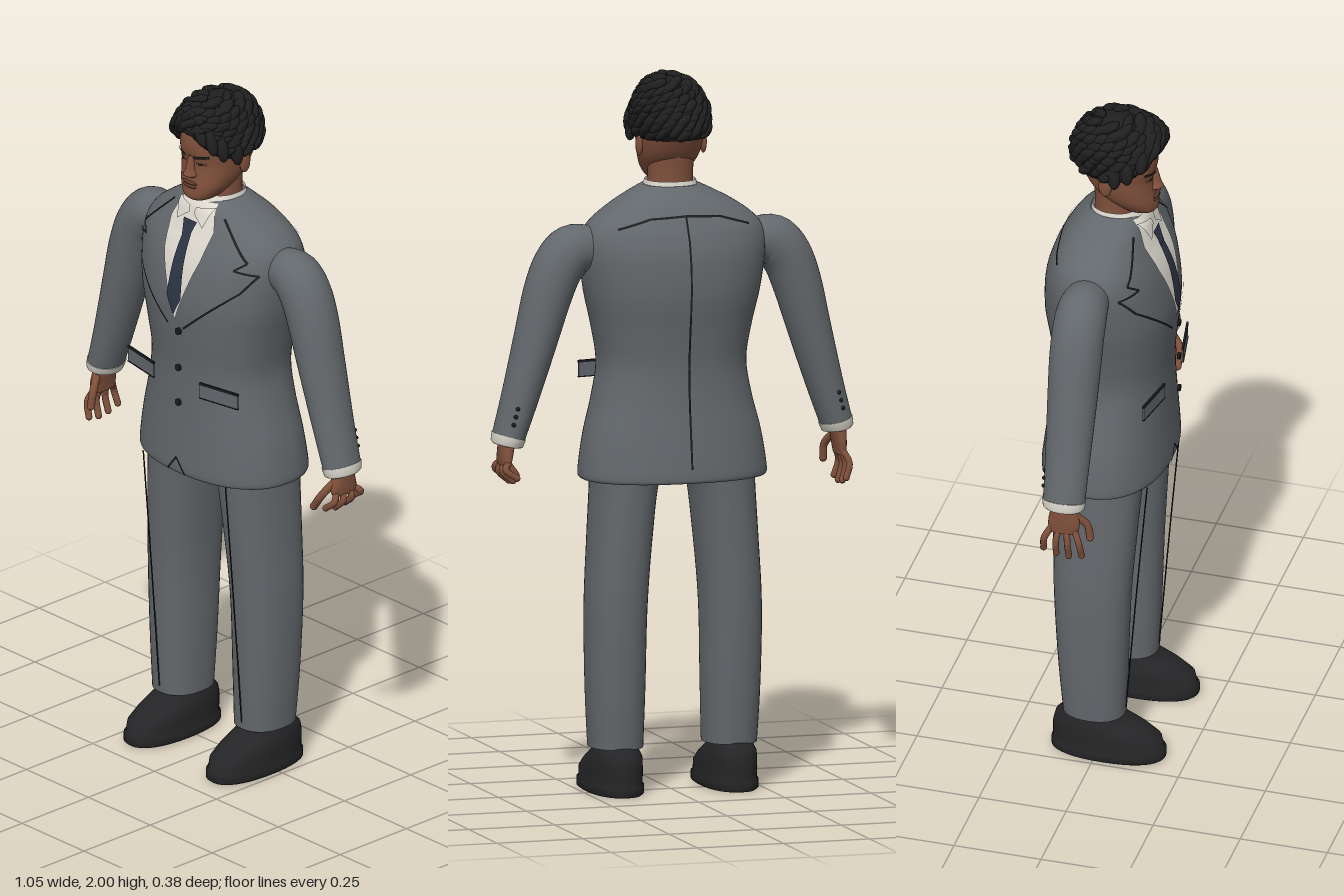
import * as THREE from 'three';

const mat = (name, hex, side = THREE.FrontSide) => {
  const m = new THREE.MeshStandardMaterial({ color: hex, side });
  m.name = name;
  return m;
};

// Smoothly resample rows of numbers (Catmull-Rom on every component)
function refine(rows, k = 5) {
  const out = [], n = rows.length, at = i => rows[Math.max(0, Math.min(n - 1, i))];
  for (let i = 0; i < n - 1; i++) for (let s = 0; s < k; s++) {
    const t = s / k, [a, b, c, d] = [at(i - 1), at(i), at(i + 1), at(i + 2)];
    out.push(b.map((v, j) => v + 0.5 * t * (c[j] - a[j] + t * (2 * a[j] - 5 * v + 4 * c[j] - d[j]
      + t * (3 * (v - c[j]) + d[j] - a[j])))));
  }
  out.push(rows[n - 1]);
  return out;
}

// Skin over superelliptic rings [x, y, z, rx, rz], listed from the bottom up
function loft(rows, { n = 2.3, seg = 40, bend = false, caps = true } = {}) {
  const pos = [], idx = [], sp = v => Math.sign(v) * Math.abs(v) ** (2 / n);
  rows.forEach(([x, y, z, rx, rz], i) => {
    const p = rows[Math.max(0, i - 1)], q = rows[Math.min(rows.length - 1, i + 1)];
    const tilt = bend ? Math.atan2(q[1] - p[1], q[0] - p[0]) - Math.PI / 2 : 0;
    for (let j = 0; j < seg; j++) {
      const a = j / seg * Math.PI * 2, u = rx * sp(Math.cos(a));
      pos.push(x + u * Math.cos(tilt), y + u * Math.sin(tilt), z + rz * sp(Math.sin(a)));
    }
  });
  for (let i = 0; i < rows.length - 1; i++) for (let j = 0; j < seg; j++) {
    const a = i * seg + j, b = i * seg + (j + 1) % seg;
    idx.push(a, a + seg, b, b, a + seg, b + seg);
  }
  if (caps) for (const r of [0, rows.length - 1]) {
    const base = pos.length / 3;
    pos.push(...pos.slice(r * seg * 3, (r + 1) * seg * 3), ...rows[r].slice(0, 3));
    for (let j = 0; j < seg; j++) {
      const a = base + j, b = base + (j + 1) % seg;
      idx.push(base + seg, ...(r ? [b, a] : [a, b]));
    }
  }
  return build(pos, idx);
}

function build(pos, idx) {
  const g = new THREE.BufferGeometry();
  g.setAttribute('position', new THREE.Float32BufferAttribute(pos, 3));
  g.setIndex(idx);
  g.computeVertexNormals();
  return g;
}

// Depth of a lofted body at (x, y), on its front (side 1) or back (side -1)
function depth(rows, x, y, side, n = 2.3) {
  let i = 0;
  while (i < rows.length - 2 && rows[i + 1][1] < y) i++;
  const a = rows[i], b = rows[i + 1], t = Math.max(0, Math.min(1, (y - a[1]) / (b[1] - a[1])));
  const [, , cz, rx, rz] = a.map((v, k) => v + (b[k] - v) * t);
  return cz + side * rz * Math.max(0, 1 - Math.abs(x / rx) ** n) ** (1 / n);
}

// Four-cornered plate laid on a lofted body, corners counter-clockwise
function patch(rows, [a, b, c, d], off = 0.005, side = 1, N = 10) {
  const pos = [], idx = [], mix = (p, q, t) => [p[0] + (q[0] - p[0]) * t, p[1] + (q[1] - p[1]) * t];
  for (let i = 0; i <= N; i++) for (let j = 0; j <= N; j++) {
    const [x, y] = mix(mix(a, b, j / N), mix(d, c, j / N), i / N);
    pos.push(x, y, depth(rows, x, y, side) + off * side);
    if (i < N && j < N) {
      const k = i * (N + 1) + j, u = k + N + 1;
      idx.push(...(side > 0 ? [k, k + 1, u, u, k + 1, u + 1] : [k, u, k + 1, u, u + 1, k + 1]));
    }
  }
  return build(pos, idx);
}

const body = list => refine(list.map(([y, rx, zf, zb]) => [0, y, (zf + zb) / 2, rx, (zf - zb) / 2]));

export function createModel() {
  const root = new THREE.Group();
  const suit = mat('suitGrey', 0x63686c, THREE.DoubleSide), seam = mat('seamDark', 0x1b1c1e);
  const skin = mat('skin', 0x80503b), lip = mat('lipBrown', 0x5e382b), hairM = mat('hairBlack', 0x1f1f20);
  const shoeM = mat('shoeBlack', 0x252527), shirt = mat('shirtWhite', 0xdedad0, THREE.DoubleSide);
  const tieM = mat('tieNavy', 0x2d3545);
  const add = (name, g, m, parent = root) => {
    const mesh = new THREE.Mesh(g, m);
    mesh.name = name;
    parent.add(mesh);
    return mesh;
  };
  const V = p => new THREE.Vector3(...p);
  const rod = (name, pts, r, m) => add(name,
    new THREE.TubeGeometry(new THREE.CatmullRomCurve3(pts.map(V)), 10, r, 8), m);
  const ball = (name, p, s, m) => {
    const b = add(name, new THREE.SphereGeometry(1, 14, 10), m);
    b.position.set(...p);
    b.scale.set(...s);
    return b;
  };

  // Jacket
  const torso = body([[0.88, 0.26, 0.16, -0.188], [0.9, 0.265, 0.165, -0.192], [1.0, 0.25, 0.16, -0.18],
    [1.1, 0.225, 0.156, -0.167], [1.2, 0.209, 0.156, -0.162], [1.3, 0.224, 0.165, -0.172],
    [1.4, 0.247, 0.17, -0.185], [1.5, 0.261, 0.155, -0.181], [1.56, 0.257, 0.135, -0.165],
    [1.6, 0.233, 0.116, -0.146], [1.64, 0.18, 0.1, -0.121], [1.67, 0.125, 0.09, -0.092], [1.692, 0.08, 0.075, -0.068]]);
  add('jacket', loft(torso, { seg: 64 }), suit);
  const seamLine = (name, pts, side = 1, w = 0.0028) => {
    for (let i = 0; i < pts.length - 1; i++) {
      const [[ax, ay], [bx, by]] = [pts[i], pts[i + 1]], l = Math.hypot(bx - ax, by - ay);
      const px = -(by - ay) / l * w, py = (bx - ax) / l * w;
      add(name, patch(torso, [[ax - px, ay - py], [bx - px, by - py], [bx + px, by + py], [ax + px, ay + py]], 0.004, side), seam);
    }
  };
  for (const s of [-1, 1]) {
    seamLine('lapelSeam', [[0.1, 1.658], [0.205, 1.56], [0.175, 1.537], [0.235, 1.527], [0.2, 1.475], [0.03, 1.33]]
      .map(([x, y]) => [x * s, y]));
    seamLine('hemNotch', [[s * 0.035, 0.885], [0, 0.93]]);
    seamLine('yokeSeam', [[0, 1.62], [s * 0.1, 1.615], [s * 0.19, 1.588]], -1);
  }
  seamLine('backSeam', [[0, 1.62], [0, 0.92]], -1);
  for (const y of [1.32, 1.21, 1.105]) {
    const b = add('jacketButton', new THREE.CylinderGeometry(0.01, 0.01, 0.008, 14), seam);
    b.rotation.x = Math.PI / 2;
    b.position.set(0.017, y, 0.176);
  }

  // Pocket flaps standing slightly proud of the jacket
  for (const s of [-1, 1]) {
    const flap = new THREE.Group();
    flap.name = 'pocketFlap';
    flap.position.set(s * 0.157, 1.162, 0.153);
    flap.rotation.y = s * 0.18;
    root.add(flap);
    add('flapCloth', new THREE.BoxGeometry(0.13, 0.045, 0.004), suit, flap);
    for (const [y, h] of [[0.021, 0.007], [-0.022, 0.003]])
      add('flapEdge', new THREE.BoxGeometry(0.132, h, 0.006), seam, flap).position.y = y;
  }

  // Shirt front, collar and tie
  const stack = (name, rows, off, m) => {
    for (let i = 0; i < rows.length - 1; i++) {
      const [y0, w0] = rows[i], [y1, w1] = rows[i + 1];
      add(name, patch(torso, [[-w0, y0], [w0, y0], [w1, y1], [-w1, y1]], off), m);
    }
  };
  stack('shirtFront', [[1.35, 0.001], [1.54, 0.072], [1.62, 0.086], [1.688, 0.062]], 0.005, shirt);
  stack('tieBlade', [[1.37, 0.002], [1.42, 0.028], [1.6, 0.015]], 0.01, tieM);
  stack('tieKnot', [[1.59, 0.014], [1.635, 0.026]], 0.013, tieM);
  add('shirtCollar', loft([[0, 1.655, 0.012, 0.082, 0.085], [0, 1.705, 0.004, 0.07, 0.068]], { caps: false }), shirt);
  for (const s of [-1, 1]) {
    const tip = s > 0 ? [[0.008, 1.655], [0.05, 1.625], [0.07, 1.682], [0.012, 1.672]]
      : [[-0.05, 1.625], [-0.008, 1.655], [-0.012, 1.672], [-0.07, 1.682]];
    add('collarWing', patch(torso, tip, 0.014), shirt);
  }

  for (const s of [-1, 1]) {
    // Sleeve, cuff and sleeve buttons
    const arm = refine([[0.478, 1.0, 0.044, 0.059], [0.447, 1.1, 0.05, 0.062], [0.418, 1.2, 0.056, 0.066],
      [0.39, 1.3, 0.062, 0.07], [0.362, 1.4, 0.068, 0.073], [0.332, 1.475, 0.071, 0.073],
      [0.29, 1.52, 0.072, 0.07], [0.23, 1.525, 0.06, 0.06]].map(([x, y, rx, rz]) => [s * x, y, -0.013, rx, rz]));
    add('sleeve', loft(arm, { n: 2, bend: true }), suit);
    add('shirtCuff', loft([[s * 0.481, 0.985, -0.013, 0.037, 0.05], [s * 0.48, 0.99, -0.013, 0.044, 0.058],
      [s * 0.474, 1.012, -0.013, 0.047, 0.062]], { n: 2, bend: true }), shirt);
    for (let i = 0; i < 3; i++)
      ball('sleeveButton', [s * (0.478 - i * 0.006), 1.05 + i * 0.022, -0.07], [0.006, 0.006, 0.007], seam);

    // Hand: the left one curls, the right one hangs straight
    const curl = s > 0, tipY = curl ? 0.884 : 0.838;
    add('palm', loft(refine([[s * 0.487, curl ? 0.93 : 0.915, -0.012, 0.013, 0.042], [s * 0.485, 0.95, -0.01, 0.017, 0.045],
      [s * 0.48, 0.995, -0.012, 0.022, 0.034]]), { seg: 20 }), skin);
    for (let f = 0; f < 4; f++) {
      const z = 0.02 - f * 0.022, end = tipY + [0.008, 0, 0.004, 0.016][f], out = (z + 0.012) * 0.5;
      const top = curl ? 0.938 : 0.925, p = [s * (curl ? 0.468 : 0.488), end, z + out * 1.3];
      rod('finger', [[s * 0.487, top, z], [s * 0.499, (top + end) / 2 + 0.004, z + out], p], 0.0095, skin);
      ball('fingerTip', p, [0.0095, 0.0095, 0.0095], skin);
    }
    const thumb = curl ? [0.432, 0.889, 0.052] : [0.462, 0.892, 0.058];
    thumb[0] *= s;
    rod('thumb', [[s * 0.48, 0.97, 0.018], [s * 0.462, 0.932, 0.05], thumb], 0.011, skin);
    ball('thumbTip', thumb, [0.011, 0.011, 0.011], skin);

    // Trouser leg and its front crease
    add('trouserLeg', loft(refine([[0.165, 0.13, -0.013, 0.074, 0.088], [0.167, 0.3, -0.017, 0.08, 0.098],
      [0.166, 0.52, -0.019, 0.083, 0.108], [0.153, 0.72, -0.015, 0.085, 0.118], [0.138, 0.88, -0.012, 0.091, 0.127],
      [0.12, 0.95, -0.012, 0.118, 0.135]].map(([x, ...r]) => [s * x, ...r]))), suit);
    rod('trouserCrease', [[s * 0.166, 0.885, 0.137], [s * 0.166, 0.55, 0.108], [s * 0.166, 0.15, 0.076]], 0.002, seam);

    // Shoe
    const shoe = [[0, 0.07, 0.183, -0.128], [0.006, 0.078, 0.19, -0.135], [0.028, 0.078, 0.19, -0.135], [0.03, 0.073, 0.184, -0.13],
      [0.06, 0.074, 0.177, -0.131], [0.085, 0.071, 0.14, -0.13], [0.108, 0.067, 0.09, -0.124], [0.122, 0.06, 0.066, -0.11],
      [0.15, 0.055, 0.05, -0.09]].map(([y, rx, zf, zb]) => [s * 0.166, y, (zf + zb) / 2, rx, (zf - zb) / 2]);
    add('shoe', loft(shoe, { n: 2.3 }), shoeM);
  }

  // Neck and head
  add('neck', loft(refine([[0, 1.64, -0.005, 0.07, 0.066], [0, 1.7, 0.002, 0.063, 0.06], [0, 1.8, 0.0, 0.066, 0.064]]), { n: 2 }), skin);
  const head = body([[1.693, 0.025, 0.105, 0.05], [1.705, 0.046, 0.12, 0.02], [1.735, 0.069, 0.119, -0.02],
    [1.77, 0.083, 0.113, -0.06], [1.81, 0.09, 0.11, -0.085], [1.85, 0.093, 0.117, -0.1], [1.9, 0.092, 0.11, -0.105],
    [1.94, 0.075, 0.085, -0.085], [1.965, 0.03, 0.04, -0.04]]);
  add('head', loft(head, { seg: 48 }), skin);
  add('nose', loft(refine([[0, 1.765, 0.108, 0.014, 0.012], [0, 1.774, 0.112, 0.021, 0.024],
    [0, 1.79, 0.108, 0.014, 0.022], [0, 1.83, 0.108, 0.009, 0.011]]), { n: 2, seg: 16 }), skin);
  ball('upperLip', [0, 1.749, 0.117], [0.029, 0.005, 0.007], lip);
  ball('lowerLip', [0, 1.739, 0.117], [0.025, 0.006, 0.007], lip);
  for (const s of [-1, 1]) {
    const quad = (x0, y0, x1, y1, h) => s > 0 ? [[x0, y0], [x1, y1], [x1, y1 + h], [x0, y0 + h]]
      : [[-x1, y1], [-x0, y0], [-x0, y0 + h], [-x1, y1 + h]];
    add('eyebrow', patch(head, quad(0.015, 1.824, 0.062, 1.833, 0.009), 0.005), hairM);
    add('eyelid', patch(head, quad(0.019, 1.806, 0.052, 1.808, 0.009), 0.002), lip);
    add('eye', patch(head, quad(0.028, 1.807, 0.042, 1.808, 0.006), 0.004), seam);
    ball('ear', [s * 0.093, 1.805, -0.005], [0.009, 0.032, 0.019], skin);
  }

  // Hair: a cap with a shaped hairline, covered in swept locks
  let seed = 7;
  const rnd = () => (seed = (seed * 16807) % 2147483647) / 2147483647;
  const scalp = (a, v) => {
    const f = Math.max(0, Math.sin(a)), h = 1.825 + 0.085 * f ** 3;
    const r = Math.sin(v * Math.PI / 2) ** 0.85 * (1 - 0.1 * v ** 6);
    return [0.106 * r * Math.cos(a), h + (1.988 - h) * Math.cos(v * Math.PI / 2) ** 0.9, 0.008 + 0.132 * r * Math.sin(a)];
  };
  const pos = [], idx = [], A = 40, R = 14;
  for (let i = 0; i <= R + 1; i++) for (let j = 0; j < A; j++) {
    const a = j / A * Math.PI * 2, p = scalp(a, Math.min(1, i / R));
    pos.push(...(i > R ? [p[0] * 0.75, p[1] + 0.01, p[2] * 0.75] : p));
    if (i <= R) {
      const k = i * A + j, m = i * A + (j + 1) % A;
      idx.push(k, m, k + A, m, m + A, k + A);
    }
  }
  add('hairCap', build(pos, idx), hairM);
  for (let i = 0; i < 130; i++) {
    const a = i * 2.39996, v = 0.12 + 0.84 * Math.sqrt((i + 0.5) / 130), p = scalp(a, v), q = scalp(a + 0.25, Math.min(1, v + 0.1));
    const lock = ball('hairLock', p, [0.013 + 0.006 * rnd(), 0.012 + 0.004 * rnd(), 0.026 + 0.01 * rnd()], hairM);
    lock.lookAt(V(q));
  }
  // Fringe falling to the left side, and the sideburns
  for (const [x, y, z, l, tilt] of [[0.02, 1.925, 0.128, 0.032, 0.7], [0.05, 1.91, 0.122, 0.036, 0.5], [0.075, 1.89, 0.104, 0.04, 0.3],
    [0.093, 1.868, 0.08, 0.038, 0.2], [-0.045, 1.925, 0.122, 0.03, -0.6], [-0.08, 1.895, 0.095, 0.036, -0.35],
    [-0.1, 1.862, 0.06, 0.034, -0.1], [0.104, 1.845, 0.035, 0.034, 0.1], [-0.105, 1.845, 0.025, 0.034, -0.1]])
    ball('fringeLock', [x, y, z], [0.016, l, 0.018], hairM).rotation.z = tilt;
  return root;
}
